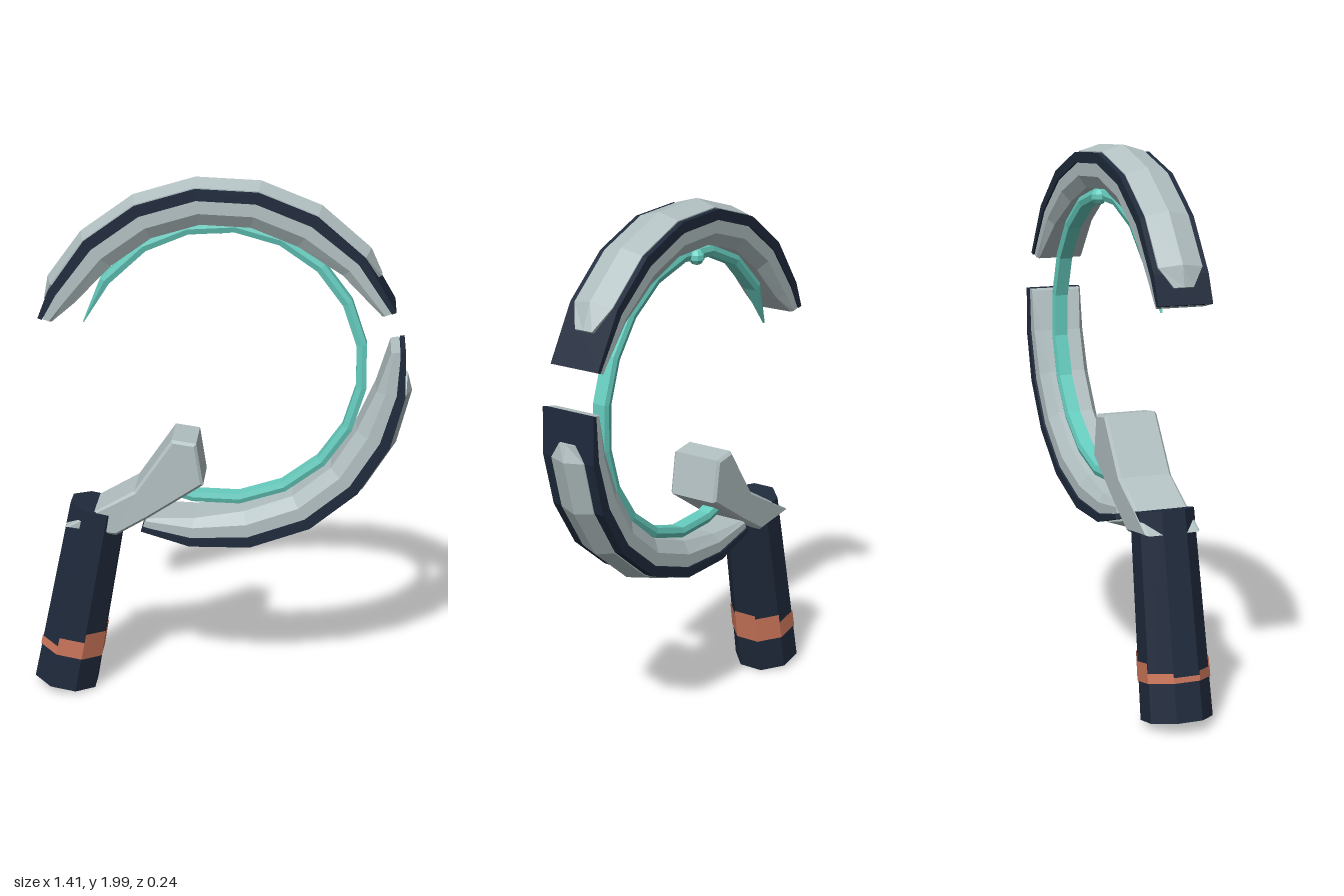
import * as THREE from 'three';

const RAD = Math.PI / 180;
const CENTER_Y = 1.3;

// Flat-shaded sweep of a closed [radius, z] section around the ring centre.
// stations: [angleInDegrees, section] with increasing angles; sections wind from +r to +z.
function sweep(stations) {
  const rings = stations.map(([deg, section]) => section.map(([r, z]) =>
    new THREE.Vector3(r * Math.cos(deg * RAD), CENTER_Y + r * Math.sin(deg * RAD), z)));
  const pts = [];
  const n = rings[0].length;
  for (let i = 0; i < rings.length - 1; i++) {
    for (let j = 0; j < n; j++) {
      const k = (j + 1) % n;
      const a = rings[i][j], b = rings[i][k], c = rings[i + 1][k], d = rings[i + 1][j];
      pts.push(a, d, c, a, c, b);
    }
  }
  const first = rings[0], last = rings[rings.length - 1];
  for (let j = 1; j < n - 1; j++) {
    pts.push(first[0], first[j], first[j + 1], last[0], last[j + 1], last[j]);
  }
  const geo = new THREE.BufferGeometry().setFromPoints(pts);
  geo.computeVertexNormals();
  return geo;
}

function faceted(geo) {
  const flat = geo.toNonIndexed();
  flat.computeVertexNormals();
  return flat;
}

export function createModel() {
  const model = new THREE.Group();
  const material = (name, color) => {
    const m = new THREE.MeshStandardMaterial({ color });
    m.name = name;
    return m;
  };
  const silver = material('silver', 0xb2c0c2);
  const navy = material('navy', 0x1f2a3c);
  const teal = material('teal', 0x66cdbf);
  const copper = material('copper', 0xcc765b);
  const add = (parent, name, geo, mat) => {
    const mesh = new THREE.Mesh(geo, mat);
    mesh.name = name;
    parent.add(mesh);
    return mesh;
  };

  // Crescent blade: silver inner body, navy rim and a ridged silver strip on the outside
  function blade(name, angles, w, stripAngles, stripW) {
    const group = new THREE.Group();
    group.name = name;
    model.add(group);
    const last = angles.length - 1;
    const fullness = (i) => [0, 0.65][Math.min(i, last - i)] ?? 1;
    const mix = THREE.MathUtils.lerp;

    const body = angles.map((deg, i) => {
      const k = fullness(i), inner = mix(0.625, 0.545, k), mid = mix(0.635, 0.59, k);
      const z = w * 0.93, zi = w * mix(0.85, 0.65, k);
      return [deg, [[0.658, -z], [0.658, z], [mid, z], [inner, zi], [inner, -zi], [mid, -z]]];
    });
    add(group, 'bladeBody', sweep(body), silver);

    const rim = angles.map((deg, i) => {
      const inner = mix(0.66, 0.638, fullness(i));
      return [deg, [[0.677, -w], [0.677, w], [inner, w], [inner, -w]]];
    });
    add(group, 'bladeRim', sweep(rim), navy);

    const end = stripAngles.length - 1;
    const strip = stripAngles.map((deg, i) => {
      const tip = i === 0 || i === end;
      const z = tip ? stripW * 0.45 : stripW;
      return [deg, [[0.66, -z], [0.681, -z], [tip ? 0.684 : 0.704, 0], [0.681, z], [0.66, z]]];
    });
    add(group, 'bladeStrip', sweep(strip), silver);
  }
  blade('upperBlade', [21, 40, 59, 78, 97, 116, 135, 154, 163], 0.1,
    [32, 40, 59, 78, 97, 116, 135, 152, 158], 0.08);
  blade('lowerBlade', [-115, -99, -80, -60, -41, -23, -6, 8.5], 0.108,
    [-109, -99, -80, -60, -41, -23, -6, -1], 0.07);

  // Thin inner ring, tapering to a point at its free end
  const ringAngles = [-114, -101, -82, -63, -44, -26, -8, 10, 28, 46, 65, 84, 103, 122, 143, 163];
  const ring = ringAngles.map((deg, i) => {
    const k = i === ringAngles.length - 1 ? 0.12 : 1;
    const section = [[0.018, -0.025], [0.018, 0.025], [0, 0.031], [-0.02, 0.025], [-0.02, -0.025], [0, -0.031]];
    return [deg, section.map(([r, z]) => [0.522 + r * k, -0.025 + z * k])];
  });
  add(model, 'innerRing', sweep(ring), teal);

  // Small bead behind the top of the ring
  add(model, 'ringBead', faceted(new THREE.SphereGeometry(0.03, 8, 5)), teal).position.set(0, 1.81, -0.06);

  // Guard arm joining the handle to the ring
  const outline = [[-0.57, 0.69], [-0.38, 0.662], [-0.255, 0.737], [-0.055, 0.87],
    [-0.08, 1.03], [-0.17, 1.043], [-0.31, 0.84]];
  const guard = new THREE.ExtrudeGeometry(
    new THREE.Shape(outline.map(([x, y]) => new THREE.Vector2(x, y))),
    { depth: 0.184, bevelEnabled: true, bevelSegments: 1, bevelSize: 0.01, bevelThickness: 0.01, bevelOffset: -0.01 });
  add(model, 'guardArm', guard.translate(0, 0, -0.096), silver);

  // Tilted eight-sided handle
  const handle = new THREE.Group();
  handle.name = 'handle';
  handle.position.set(-0.593, 0.03, 0);
  handle.rotation.z = -11 * RAD;
  model.add(handle);
  const length = 0.735, rBottom = 0.127, rTop = 0.112, sides = 8;
  const grip = new THREE.CylinderGeometry(rTop, rBottom, length, sides);
  grip.rotateY(Math.PI / sides).translate(0, length / 2, 0);
  add(handle, 'grip', faceted(grip), navy);

  // Stepped copper band, taller towards the ring side
  const band = [];
  const bandPoint = (a, y) => {
    const r = rBottom + (rTop - rBottom) * y / length + 0.004;
    return new THREE.Vector3(r * Math.cos(a), y, r * Math.sin(a));
  };
  for (let i = 0; i < sides; i++) {
    const mid = i * 2 * Math.PI / sides, half = Math.PI / sides;
    const cy = 0.174 + 0.025 * Math.cos(mid), h = 0.035 + 0.025 * Math.cos(mid);
    const a = bandPoint(mid - half, cy - h), b = bandPoint(mid - half, cy + h);
    const c = bandPoint(mid + half, cy + h), d = bandPoint(mid + half, cy - h);
    band.push(a, b, c, a, c, d);
  }
  const bandGeo = new THREE.BufferGeometry().setFromPoints(band);
  bandGeo.computeVertexNormals();
  copper.side = THREE.DoubleSide;
  add(handle, 'gripBand', bandGeo, copper);

  return model;
}
